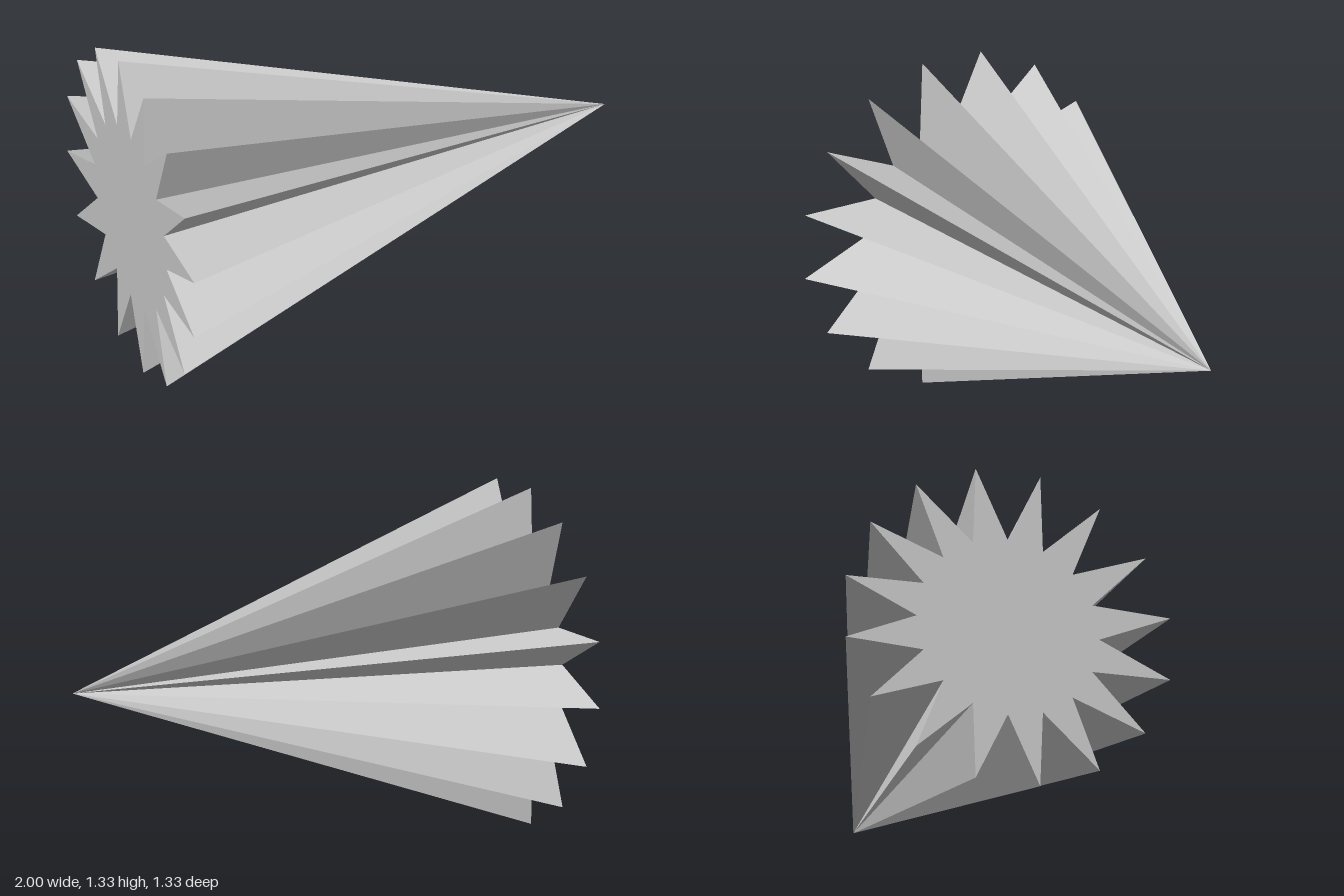
import * as THREE from 'three';

const POINTS = 16;
const TIP_RADIUS = 0.68;
const VALLEY_RADIUS = 0.375;
const LENGTH = 2;
const CENTER_Y = 0.667;

// Cone whose base ring alternates between valleys and tips
function starConeGeometry() {
  const sides = POINTS * 2;
  const geometry = new THREE.ConeGeometry(TIP_RADIUS, LENGTH, sides, 1);
  const pos = geometry.attributes.position;
  for (let i = 0; i < pos.count; i++) {
    const x = pos.getX(i), z = pos.getZ(i);
    if (Math.hypot(x, z) < 1e-4) continue;
    const step = Math.round((Math.atan2(x, z) / (2 * Math.PI)) * sides);
    if (step % 2 === 0) {
      const s = VALLEY_RADIUS / TIP_RADIUS;
      pos.setXYZ(i, x * s, pos.getY(i), z * s);
    }
  }
  // Lay it down with the apex towards +x, with faceted normals
  geometry.rotateZ(-Math.PI / 2);
  const faceted = geometry.toNonIndexed();
  faceted.computeVertexNormals();
  return faceted;
}

export function createModel() {
  const group = new THREE.Group();
  group.name = 'starCone';
  const material = new THREE.MeshStandardMaterial({ color: 0xcccccc, flatShading: true });
  const spike = new THREE.Mesh(starConeGeometry(), material);
  spike.name = 'starSpike';
  spike.position.y = CENTER_Y;
  group.add(spike);
  return group;
}
